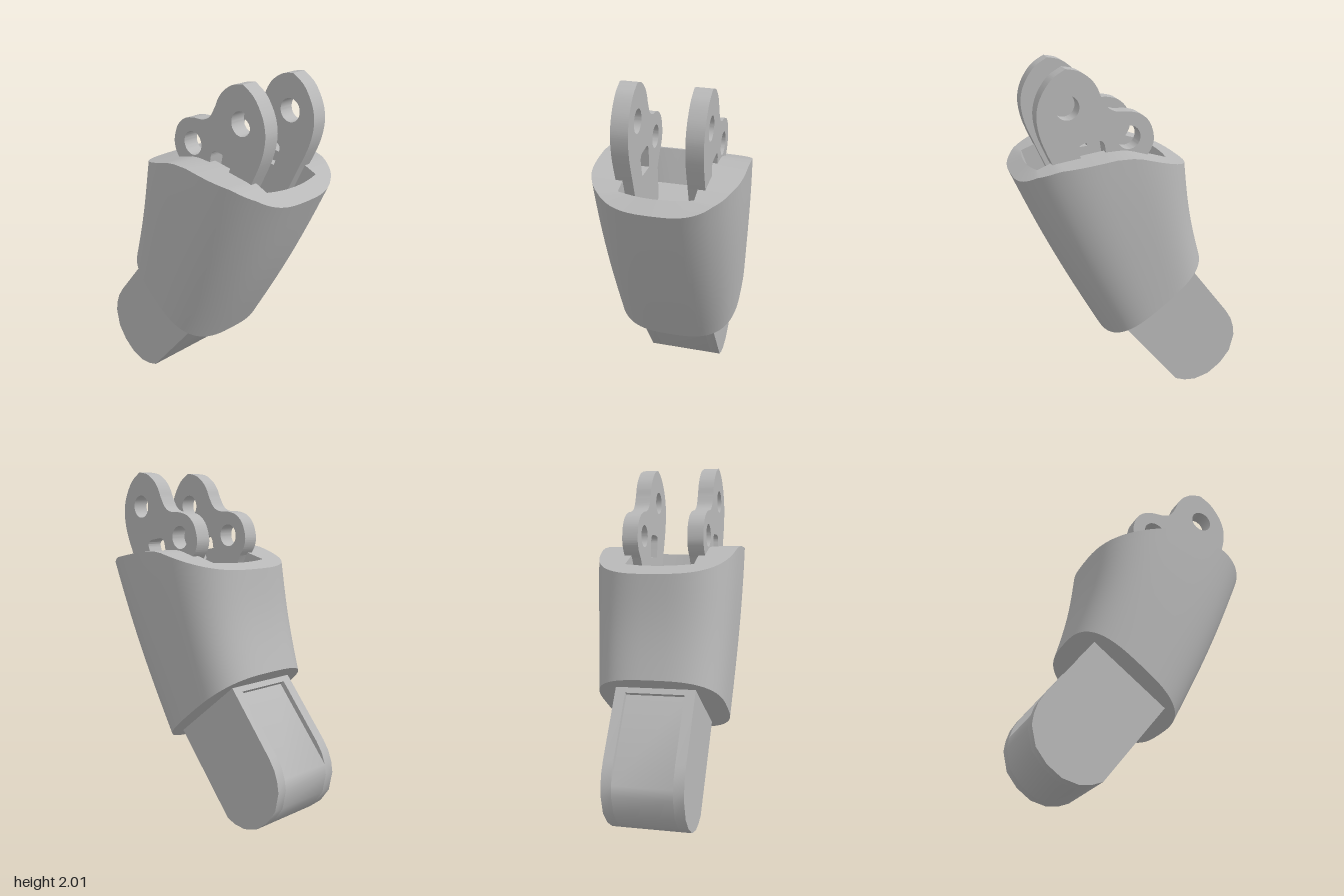
import * as THREE from 'three';
import { toCreasedNormals } from 'three/addons/utils/BufferGeometryUtils.js';

const lerp = THREE.MathUtils.lerp;
const clamp = THREE.MathUtils.clamp;
const vecs = (pts) => pts.map(([x, y]) => new THREE.Vector2(x, y));

const grey = new THREE.MeshStandardMaterial({ color: 0xb8b8b8 });
grey.name = 'plain grey';

// Height of the sleeve's saddle-shaped rim along x
const rim = [[-0.31, 1.44], [-0.14, 1.49], [0.05, 1.545], [0.14, 1.553], [0.3, 1.53], [0.47, 1.505], [0.58, 1.46], [0.66, 1.4]];
function rimY(x) {
  let i = 1;
  while (i < rim.length - 1 && x > rim[i][0]) i++;
  const [x0, y0] = rim[i - 1], [x1, y1] = rim[i];
  return lerp(y0, y1, (x - x0) / (x1 - x0));
}

// Surface through a stack of closed loops
function loft(rings) {
  const n = rings[0].length, index = [];
  for (let r = 0; r < rings.length - 1; r++) {
    for (let i = 0; i < n; i++) {
      const a = r * n + i, b = r * n + (i + 1) % n;
      index.push(a, a + n, b, b, a + n, b + n);
    }
  }
  const geo = new THREE.BufferGeometry();
  geo.setAttribute('position', new THREE.Float32BufferAttribute(rings.flat(2), 3));
  geo.setIndex(index);
  return toCreasedNormals(geo, 0.6);
}

// Plate cut from an outline in the xy plane, between two z values
function plate(shape, z0, z1, name) {
  const geo = new THREE.ExtrudeGeometry(shape, { depth: z1 - z0, bevelEnabled: false, curveSegments: 24 });
  geo.translate(0, 0, z0);
  const mesh = new THREE.Mesh(toCreasedNormals(geo, 0.6), grey);
  mesh.name = name;
  return mesh;
}

// Sleeve: tapering rounded shell with a pocket in its top
function makeSleeve() {
  const loop = [];
  for (let i = 0; i < 80; i++) {
    const a = (i / 80) * Math.PI * 2, c = Math.cos(a), s = Math.sin(a);
    loop.push([Math.sign(c) * Math.abs(c) ** (2 / 3), Math.sign(s) * Math.abs(s) ** (2 / 3)]);
  }
  const outer = (t) => loop.map(([u, v]) => {
    const k = (u + 1) / 2, xt = lerp(-0.31, 0.66, k);
    return [
      lerp(lerp(-0.425, 0.17, k), xt, t) + 0.018 * Math.sin(Math.PI * t),
      lerp(lerp(0.87, 0.42, k), rimY(xt), t),
      v * (0.37 + 0.037 * Math.sin(t * Math.PI / 2)),
    ];
  });
  const square = loop.map(([u, v]) => [clamp(u * 1.26, -1, 1), clamp(v * 1.26, -1, 1)]);
  const lip = square.map(([u, v]) => {
    const x = 0.19 + u * (0.365 + 0.025 * (1 - v * v));
    return [x, rimY(x), v * 0.2];
  });
  const floor = square.map(([u, v]) => [0.13 + u * 0.28, 1.15 - u * 0.12, v * 0.2]);
  const point = (x, y) => loop.map(() => [x, y, 0]);

  const rings = [point(-0.1275, 0.645)];
  for (let i = 0; i <= 12; i++) rings.push(outer(i / 12));
  rings.push(lip, floor, point(0.13, 1.15));
  const mesh = new THREE.Mesh(loft(rings), grey);
  mesh.name = 'sleeve';
  return mesh;
}

// Tongue: round-ended block with a shallow recess on its upper side
function makeTongue() {
  const group = new THREE.Group();
  group.name = 'tongue';
  const end = [[-0.64, 0.17], [-0.58, 0.09], [-0.5, 0.03], [-0.41, 0.006], [-0.34, 0.013], [-0.28, 0.035], [0.17, 0.59]];
  const full = new THREE.Shape(vecs([[-0.25, 0.91], [-0.6, 0.46], [-0.637, 0.4], [-0.657, 0.34], [-0.665, 0.28], ...end]));
  const cut = new THREE.Shape(vecs([[-0.25, 0.91], [-0.355, 0.775], [-0.331, 0.757], [-0.657, 0.34], [-0.665, 0.28], ...end]));
  group.add(plate(full, 0.172, 0.232, 'tongueSideFront'));
  group.add(plate(cut, -0.172, 0.172, 'tongueCore'));
  group.add(plate(full, -0.232, -0.172, 'tongueSideBack'));
  return group;
}

// Lug: two-lobed plate with two pin holes and a slot
function lugShape() {
  const s = new THREE.Shape();
  s.moveTo(0.3, 1.1);
  s.lineTo(0.47, 1.48);
  s.splineThru(vecs([[0.535, 1.63], [0.558, 1.74], [0.55, 1.82], [0.52, 1.89], [0.47, 1.955], [0.4, 2]]));
  s.splineThru(vecs([[0.33, 1.985], [0.27, 1.945], [0.235, 1.9], [0.21, 1.845], [0.175, 1.79], [0.125, 1.765],
    [0.05, 1.76], [-0.015, 1.74], [-0.065, 1.69], [-0.088, 1.61], [-0.075, 1.55], [-0.04, 1.5]]));
  s.lineTo(0, 1.42);
  s.lineTo(-0.05, 1.12);
  for (const [x, y] of [[0.395, 1.8], [0.055, 1.62]]) {
    s.holes.push(new THREE.Path().absarc(x, y, 0.065, 0, Math.PI * 2, true));
  }
  const slot = new THREE.Path();
  slot.moveTo(0.175, 1.48);
  slot.lineTo(0.19, 1.575);
  slot.quadraticCurveTo(0.195, 1.617, 0.235, 1.615);
  slot.lineTo(0.305, 1.605);
  slot.quadraticCurveTo(0.35, 1.595, 0.335, 1.555);
  slot.lineTo(0.305, 1.47);
  s.holes.push(slot);
  return s;
}

export function createModel() {
  const model = new THREE.Group();
  model.name = 'jointSegment';

  // Everything leans slightly about x
  const body = new THREE.Group();
  body.name = 'body';
  body.rotation.x = -0.03;
  body.position.z = 0.048;
  body.add(makeSleeve(), makeTongue());
  body.add(plate(lugShape(), 0.145, 0.238, 'lugFront'));
  body.add(plate(lugShape(), -0.24, -0.147, 'lugBack'));
  model.add(body);
  return model;
}
